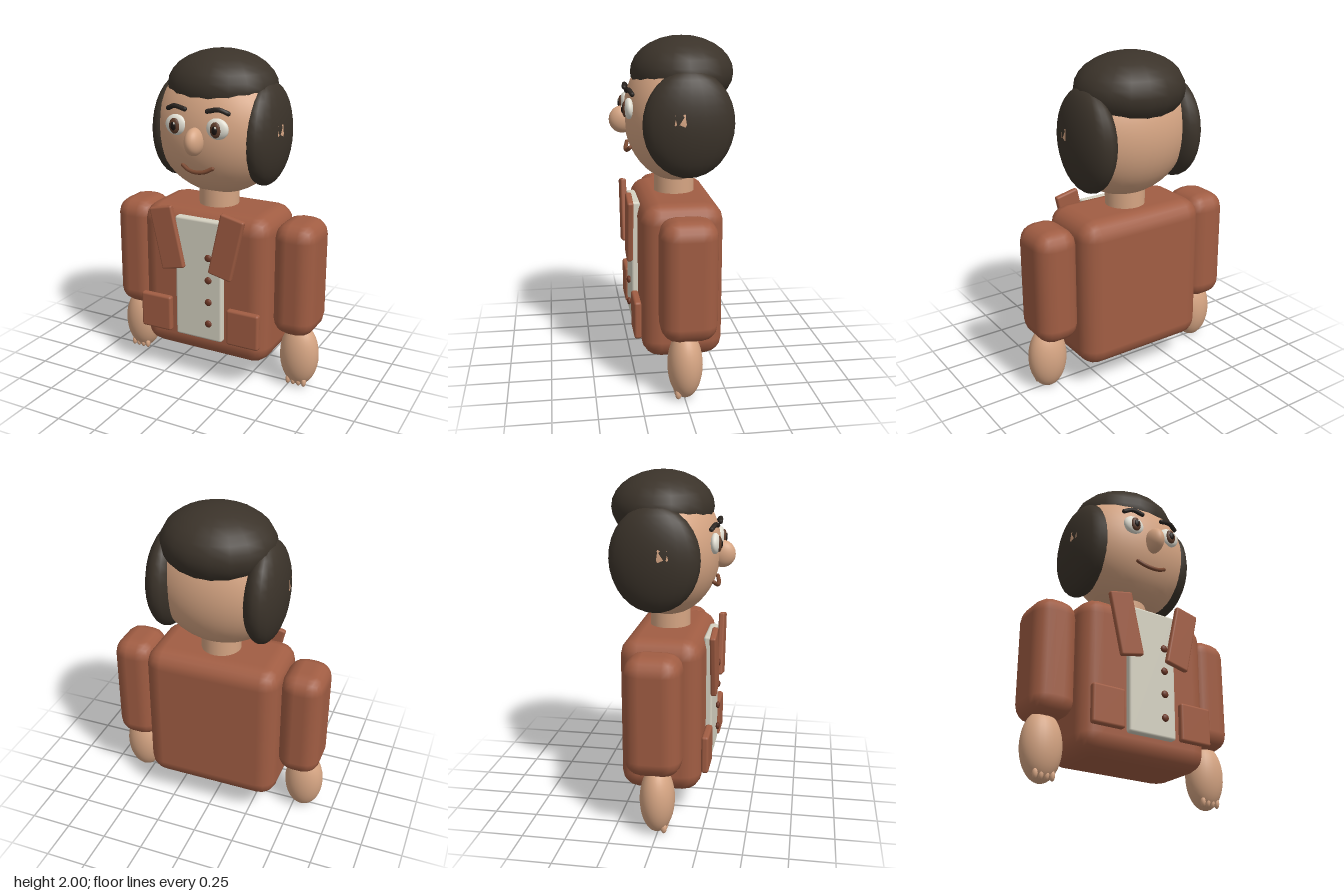
import * as THREE from 'three';
import { RoundedBoxGeometry } from 'three/addons/geometries/RoundedBoxGeometry.js';

const mat = (name, color) => {
  const m = new THREE.MeshStandardMaterial({ color });
  m.name = name;
  return m;
};

export function createModel() {
  const root = new THREE.Group();
  root.name = 'bust';

  const jacket = mat('jacket rust', 0xa15d43);
  const skin = mat('skin', 0xd6a583);
  const hair = mat('hair dark brown', 0x3b332a);
  const shirt = mat('shirt cream', 0xd6d2c2);
  const button = mat('button brown', 0x6e3826);
  const lip = mat('lip brown', 0x7c4a32);
  const eyeWhite = mat('eye white', 0xe2dfd3);
  const iris = mat('iris brown', 0x5e3c2a);
  const pupil = mat('pupil black', 0x1c1512);
  const brow = mat('brow dark', 0x2a2420);

  const add = (name, geometry, material, x = 0, y = 0, z = 0) => {
    const mesh = new THREE.Mesh(geometry, material);
    mesh.name = name;
    mesh.position.set(x, y, z);
    root.add(mesh);
    return mesh;
  };
  const box = (name, material, [w, h, d], [x, y, z], r, segments = 2) =>
    add(name, new RoundedBoxGeometry(w, h, d, segments, r), material, x, y, z);
  const ball = (name, material, [rx, ry, rz], [x, y, z], ws = 28, hs = 20) =>
    add(name, new THREE.SphereGeometry(1, ws, hs).scale(rx, ry, rz), material, x, y, z);
  const tube = (name, material, points, r) => {
    const curve = new THREE.CatmullRomCurve3(points.map((p) => new THREE.Vector3(...p)));
    add(name, new THREE.TubeGeometry(curve, 16, r, 8), material);
    // rounded tips
    for (const p of [points[0], points[points.length - 1]])
      ball(name + 'Tip', material, [r, r, r], p, 10, 8);
  };

  // Jacket body, shirt front and buttons
  box('torso', jacket, [0.84, 0.925, 0.477], [0, 0.625, -0.021], 0.11);
  box('shirtFront', shirt, [0.31, 0.76, 0.055], [0, 0.675, 0.227], 0.015);
  for (let i = 0; i < 4; i++)
    ball('button', button, [0.022, 0.022, 0.013], [0.073, 0.41 + i * 0.14, 0.265], 14, 10);

  // Neck and head
  add('neck', new THREE.CylinderGeometry(0.12, 0.12, 0.25, 28), skin, 0, 1.165, -0.021);
  ball('head', skin, [0.405, 0.39, 0.302], [0, 1.545, -0.026], 36, 24);
  ball('nose', skin, [0.052, 0.08, 0.078], [0, 1.52, 0.285]);
  tube('mouth', lip, [[-0.095, 1.368, 0.25], [-0.05, 1.346, 0.262], [0, 1.339, 0.266],
    [0.05, 1.346, 0.262], [0.095, 1.368, 0.25]], 0.012);

  // Hair cap sitting over the crown
  ball('hairCap', hair, [0.332, 0.212, 0.3], [0, 1.788, -0.065], 18, 14);

  // Mirrored parts
  for (const s of [-1, 1]) {
    ball('sideHair', hair, [0.118, 0.305, 0.262], [s * 0.289, 1.527, -0.065], 20, 16);

    // Eye
    ball('eye', eyeWhite, [0.069, 0.06, 0.03], [s * 0.13, 1.6, 0.256]);
    ball('iris', iris, [0.033, 0.045, 0.016], [s * 0.13, 1.598, 0.28], 20, 14);
    ball('pupil', pupil, [0.018, 0.025, 0.01], [s * 0.13, 1.598, 0.291], 16, 12);
    ball('eyeGlint', eyeWhite, [0.006, 0.007, 0.004], [s * 0.13 + 0.008, 1.615, 0.299], 10, 8);
    tube('eyebrow', brow, [[s * 0.19, 1.688, 0.242], [s * 0.14, 1.707, 0.257],
      [s * 0.072, 1.695, 0.264]], 0.014);

    // Lapel and pocket
    const lapel = box('lapel', jacket, [0.152, 0.385, 0.036], [s * 0.195, 0.918, 0.27], 0.012);
    lapel.rotation.z = -s * 0.22;
    box('pocket', jacket, [0.208, 0.226, 0.043], [s * 0.293, 0.413, 0.243], 0.015);

    // Sleeve, hand and fingers
    box('sleeve', jacket, [0.262, 0.7, 0.325], [s * 0.537, 0.706, -0.025], 0.1);
    ball('hand', skin, [0.12, 0.2, 0.1], [s * 0.555, 0.205, -0.005]);
    for (let i = 0; i < 4; i++)
      ball('finger', skin, [0.015, 0.03, 0.018],
        [s * 0.555 + (i - 1.5) * 0.034, 0.044, 0.04], 12, 8);
  }

  return root;
}
